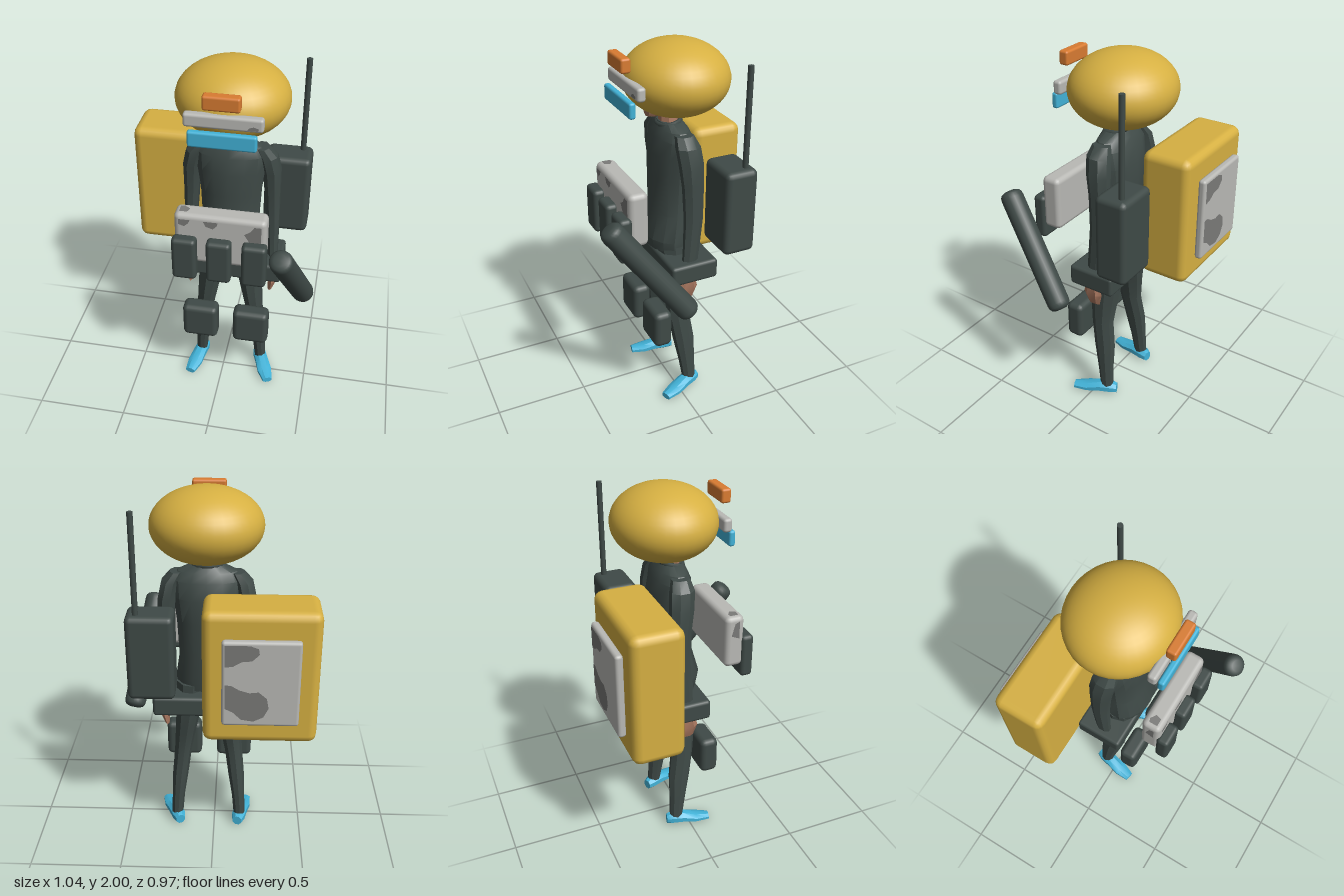
import * as THREE from 'three';
import { toCreasedNormals } from 'three/addons/utils/BufferGeometryUtils.js';
import { RoundedBoxGeometry } from 'three/addons/geometries/RoundedBoxGeometry.js';

const CX = 0.035; // centre line of the body

const paint = (name, color) => {
  const m = new THREE.MeshStandardMaterial({ color });
  m.name = name;
  return m;
};

// Closed skin through rings [y, cx, cz, rx, rz] listed from bottom to top
function loft(rings, sides = 10, crease = 0.5) {
  const pos = [], idx = [];
  for (const [y, cx, cz, rx, rz] of rings) {
    for (let j = 0; j < sides; j++) {
      const a = ((j + 0.5) / sides) * Math.PI * 2;
      pos.push(cx + rx * Math.cos(a), y, cz + rz * Math.sin(a));
    }
  }
  const last = rings.length - 1, bottom = rings.length * sides, top = bottom + 1;
  for (const r of [rings[0], rings[last]]) pos.push(r[1], r[0], r[2]);
  for (let j = 0; j < sides; j++) {
    const k = (j + 1) % sides;
    for (let i = 0; i < last; i++) {
      const a = i * sides + j, b = i * sides + k, c = a + sides, d = b + sides;
      idx.push(a, c, b, b, c, d);
    }
    idx.push(bottom, j, k, top, last * sides + k, last * sides + j);
  }
  const g = new THREE.BufferGeometry();
  g.setAttribute('position', new THREE.Float32BufferAttribute(pos, 3));
  g.setIndex(idx);
  return toCreasedNormals(g, crease);
}

export function createModel() {
  const model = new THREE.Group();
  const yellow = paint('yellow shell', 0xd6b042);
  const dark = paint('dark green cloth', 0x3f4a47);
  const grey = paint('light grey plate', 0xb9b9b5);
  const patchGrey = paint('camouflage grey', 0x7a7a78);
  const blue = paint('cyan', 0x42b3d8);
  const orange = paint('orange', 0xd97c32);
  const skin = paint('skin', 0xa8775f);

  const add = (name, geometry, material) => {
    const mesh = new THREE.Mesh(geometry, material);
    mesh.name = name;
    model.add(mesh);
    return mesh;
  };

  // Rounded box given by its extents
  const box = (name, mat, [x0, x1], [y0, y1], [z0, z1], r = 0.025) => {
    const m = add(name, new RoundedBoxGeometry(x1 - x0, y1 - y0, z1 - z0, 2, r), mat);
    m.position.set((x0 + x1) / 2, (y0 + y1) / 2, (z0 + z1) / 2);
    return m;
  };

  // Flat camouflage blob through a few points
  const blob = (name, pts, x, y, z, rx = 0, ry = 0) => {
    const shape = new THREE.Shape(pts.map(([u, v]) => new THREE.Vector2(u, v)));
    const m = add(name, new THREE.ShapeGeometry(shape), patchGrey);
    m.position.set(x, y, z);
    m.rotation.set(rx, ry, 0);
  };

  // Helmet
  const helmet = add('helmet', new THREE.SphereGeometry(1, 36, 24), yellow);
  helmet.scale.set(0.286, 0.19, 0.27);
  helmet.position.set(CX, 1.81, -0.06);
  box('helmetLamp', orange, [-0.055, 0.123], [1.887, 1.96], [0.211, 0.263], 0.012);
  box('browPlate', grey, [-0.155, 0.226], [1.775, 1.845], [0.18, 0.226], 0.015);
  box('visor', blue, [-0.13, 0.2], [1.688, 1.77], [0.223, 0.257], 0.012);
  blob('browPatch', [[0, 0], [0.05, 0], [0.055, 0.012], [0.03, 0.02], [0.01, 0.014]], 0.15, 1.788, 0.228);

  // Head and neck
  add('head', loft([
    [1.632, CX, 0.06, 0.035, 0.045], [1.66, CX, 0.03, 0.06, 0.085],
    [1.74, CX, -0.02, 0.08, 0.11], [1.85, CX, -0.04, 0.07, 0.1]], 10), skin);
  add('neck', loft([
    [1.5, CX, -0.025, 0.075, 0.06], [1.6, CX, -0.022, 0.055, 0.052],
    [1.68, CX, -0.02, 0.046, 0.05]], 8), skin);

  // Jacket
  add('jacket', loft([
    [0.9, CX, -0.01, 0.165, 0.115], [0.96, CX, -0.008, 0.175, 0.125],
    [1.1, CX, -0.03, 0.153, 0.108], [1.3, CX, -0.035, 0.162, 0.115],
    [1.43, CX, -0.035, 0.18, 0.112], [1.52, CX, -0.032, 0.185, 0.095],
    [1.565, CX, -0.03, 0.155, 0.075], [1.595, CX, -0.025, 0.085, 0.06]], 14), dark);
  const collar = add('collar', new THREE.TorusGeometry(0.072, 0.014, 6, 14), dark);
  collar.rotation.x = Math.PI / 2 + 0.2;
  collar.scale.y = 0.82;
  collar.position.set(CX, 1.59, -0.022);

  // Limbs, mirrored about the centre line
  for (const [s, side, splay] of [[1, 'left', 0.38], [-1, 'right', 0.2]]) {
    const limb = (name, rings, sides, mat) =>
      add(side + name, loft(rings.map(([y, x, ...r]) => [y, CX + s * x, ...r]), sides), mat);

    limb('Sleeve', [
      [0.77, 0.234, -0.03, 0.025, 0.04], [0.95, 0.232, -0.045, 0.029, 0.046],
      [1.12, 0.222, -0.06, 0.037, 0.052], [1.3, 0.214, -0.058, 0.044, 0.058],
      [1.42, 0.208, -0.05, 0.05, 0.066], [1.51, 0.188, -0.04, 0.05, 0.066],
      [1.56, 0.155, -0.035, 0.038, 0.05]], 8, dark);
    limb('Hand', [
      [0.65, 0.228, -0.025, 0.012, 0.035], [0.72, 0.24, -0.025, 0.026, 0.056],
      [0.8, 0.236, -0.03, 0.021, 0.036]], 6, skin);
    limb('Leg', [
      [0.05, 0.182, -0.072, 0.033, 0.038], [0.18, 0.174, -0.06, 0.037, 0.047],
      [0.33, 0.16, -0.045, 0.046, 0.062], [0.48, 0.143, -0.022, 0.05, 0.064],
      [0.62, 0.125, -0.022, 0.06, 0.08], [0.77, 0.105, -0.03, 0.073, 0.094],
      [0.93, 0.088, -0.022, 0.083, 0.1]], 9, dark);

    // Foot: sections run from heel to toe
    const foot = add(side + 'Shoe', loft([
      [-0.055, 0, -0.03, 0.028, 0.03], [-0.02, 0, -0.036, 0.04, 0.038],
      [0.045, 0, -0.034, 0.041, 0.036], [0.12, 0, -0.022, 0.045, 0.024],
      [0.195, 0, -0.016, 0.03, 0.018]], 8).rotateX(Math.PI / 2), blue);
    foot.position.set(CX + s * 0.182, 0.002, -0.073);
    foot.rotation.y = s * splay;

    const kx = s > 0 ? 0.078 : -0.21;
    box(side + 'KneePad', dark, [kx, kx + 0.2], [0.365, 0.58], [0.06, 0.162], 0.03);
  }

  // Belt
  box('belt', dark, [-0.257, 0.327], [0.775, 0.887], [-0.177, 0.087], 0.018);

  // Chest plate with camouflage and pouches
  box('chestPlate', grey, [-0.2, 0.268], [1.03, 1.325], [0.19, 0.296], 0.028);
  [-0.207, -0.03, 0.15].forEach((x, i) =>
    box('pouch' + (i + 1), dark, [x, x + 0.127], [0.957, 1.203], [0.282, 0.353], 0.022));
  blob('chestPatchLeft', [[0, 0.06], [0, 0.03], [0.03, 0.02], [0.05, 0.04], [0.06, 0.06]], -0.175, 1.238, 0.298);
  blob('chestPatchMiddle', [[0, 0.04], [0.015, 0.01], [0.05, 0], [0.07, 0.02], [0.075, 0.04]], -0.05, 1.258, 0.298);
  blob('chestPatchRight', [[0, 0.05], [0.03, 0], [0.085, -0.02], [0.085, 0.1], [0.05, 0.1], [0.03, 0.07]], 0.157, 1.195, 0.298);
  blob('chestTopPatch', [[0, 0], [0.04, 0], [0.05, 0.03], [0.02, 0.05], [0, 0.045]], -0.175, 1.327, 0.268, -Math.PI / 2);
  blob('chestSidePatch', [[0, 0.02], [0.045, 0], [0.045, 0.1], [0.02, 0.09]], -0.202, 1.2, 0.22, 0, -Math.PI / 2);

  // Backpack with camouflaged rear panel
  box('backpack', yellow, [-0.53, 0.047], [0.79, 1.505], [-0.445, -0.17], 0.045);
  box('backpackPanel', grey, [-0.432, -0.05], [0.92, 1.38], [-0.489, -0.447], 0.016);
  blob('panelPatchUpper', [[0, 0], [0.04, 0.005], [0.08, 0.03], [0.13, 0.035], [0.165, 0.07],
    [0.16, 0.1], [0.12, 0.115], [0, 0.115]], -0.066, 1.248, -0.491, 0, Math.PI);
  blob('panelPatchLower', [[0, 0.05], [0.04, 0.03], [0.08, -0.01], [0.14, -0.02], [0.19, 0.005],
    [0.215, 0.055], [0.205, 0.11], [0.165, 0.145], [0.12, 0.14], [0.07, 0.155], [0.03, 0.18], [0, 0.18]],
  -0.066, 0.97, -0.491, 0, Math.PI);

  // Radio and antenna
  box('radio', dark, [0.19, 0.433], [0.96, 1.42], [-0.328, -0.152], 0.03);
  add('antenna', new THREE.CylinderGeometry(0.015, 0.015, 0.535, 12), dark)
    .position.set(0.379, 1.6675, -0.278);

  // Slanted tube with rounded rims
  const low = new THREE.Vector3(0.46, 0.698, 0.048), high = new THREE.Vector3(0.352, 1.232, 0.445);
  const h = low.distanceTo(high) / 2, r = 0.06;
  const rim = [[0, h], [r * 0.5, h], [r * 0.8, h - 0.008], [r * 0.95, h - 0.02], [r, h - 0.04]];
  const profile = [...rim.map(([x, y]) => [x, -y]), ...rim.reverse()].map(p => new THREE.Vector2(...p));
  const tube = add('slantedTube', new THREE.LatheGeometry(profile, 24), dark);
  tube.position.copy(low).add(high).multiplyScalar(0.5);
  tube.quaternion.setFromUnitVectors(new THREE.Vector3(0, 1, 0), high.clone().sub(low).normalize());

  return model;
}
